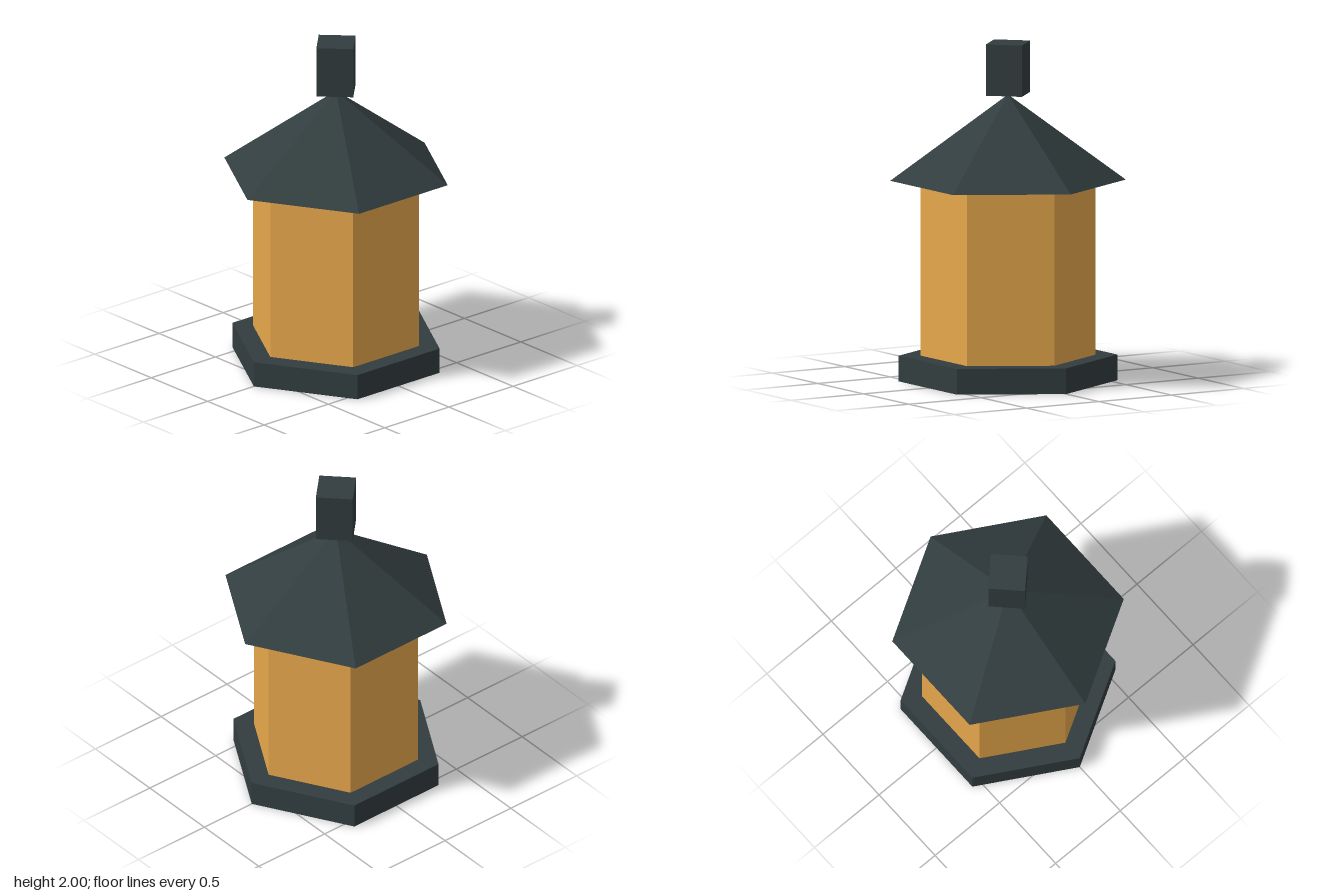
import * as THREE from 'three';

export function createModel() {
  const model = new THREE.Group();
  model.name = 'lantern';

  const darkMetal = new THREE.MeshStandardMaterial({ color: 0x323d3f });
  darkMetal.name = 'darkMetal';
  const amberGlass = new THREE.MeshStandardMaterial({ color: 0xe6a74b });
  amberGlass.name = 'amberGlass';

  // Faceted prism or pyramid between two heights, with corners on the x axis
  function addPrism(name, material, sides, topRadius, bottomRadius, y0, y1) {
    const geometry = new THREE.CylinderGeometry(
      topRadius, bottomRadius, y1 - y0, sides, 1, false, Math.PI / 2
    ).toNonIndexed();
    geometry.computeVertexNormals(); // flat faces
    const mesh = new THREE.Mesh(geometry, material);
    mesh.name = name;
    mesh.position.y = (y0 + y1) / 2;
    model.add(mesh);
  }

  addPrism('base', darkMetal, 6, 0.64, 0.64, 0, 0.152);
  addPrism('glassBody', amberGlass, 6, 0.512, 0.512, 0.152, 1.186);
  addPrism('roof', darkMetal, 6, 0, 0.69, 1.186, 1.693);
  addPrism('finial', darkMetal, 4, 0.153, 0.153, 1.697, 2);

  return model;
}
